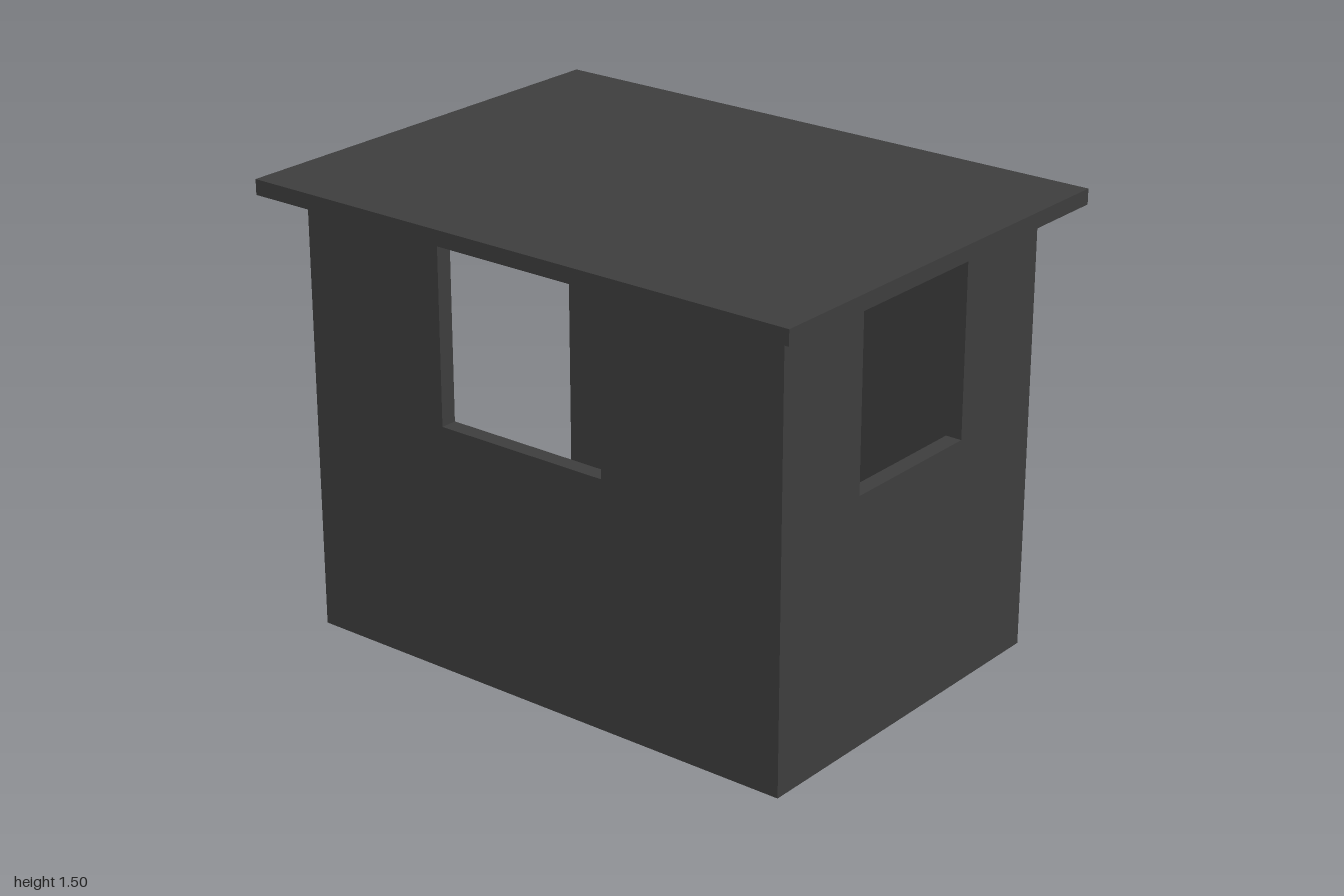
import * as THREE from 'three';

const W = 0.63, D = 0.9, H = 1.45, T = 0.055; // half width, half depth, wall height, thickness
const SILL = 0.82, LINTEL = 1.395;

export function createModel() {
  const model = new THREE.Group();
  model.name = 'hut';
  const charcoal = new THREE.MeshStandardMaterial({ color: 0x3d3d3d });
  charcoal.name = 'charcoal';

  const add = (name, geometry) => {
    const mesh = new THREE.Mesh(geometry, charcoal);
    mesh.name = name;
    model.add(mesh);
    return mesh;
  };

  // Upright panel from u0 to u1 with a window opening from w0 to w1
  const wallGeometry = (u0, u1, w0, w1) => {
    const shape = new THREE.Shape([[u0, 0], [u1, 0], [u1, H], [u0, H]].map(p => new THREE.Vector2(...p)));
    shape.holes.push(new THREE.Path(
      [[w0, SILL], [w0, LINTEL], [w1, LINTEL], [w1, SILL]].map(p => new THREE.Vector2(...p))));
    return new THREE.ExtrudeGeometry(shape, { depth: T, bevelEnabled: false });
  };

  // Front wall fits between the side walls; the back stays open
  add('frontWall', wallGeometry(-W + T, W - T, -0.26, 0.26)).position.z = D - T;

  // Side walls, turned so the panel runs along z
  for (const [name, x] of [['leftWall', W - T], ['rightWall', -W]]) {
    const wall = add(name, wallGeometry(-D, D, -0.25, 0.37));
    wall.rotation.y = Math.PI / 2;
    wall.position.x = x;
  }

  // Floor slab between the walls
  add('floor', new THREE.BoxGeometry(2 * (W - T), T, 2 * D - T)).position.set(0, T / 2, -T / 2);

  // Flat overhanging roof
  add('roof', new THREE.BoxGeometry(1.49, 0.05, 2)).position.y = H + 0.025;

  return model;
}
